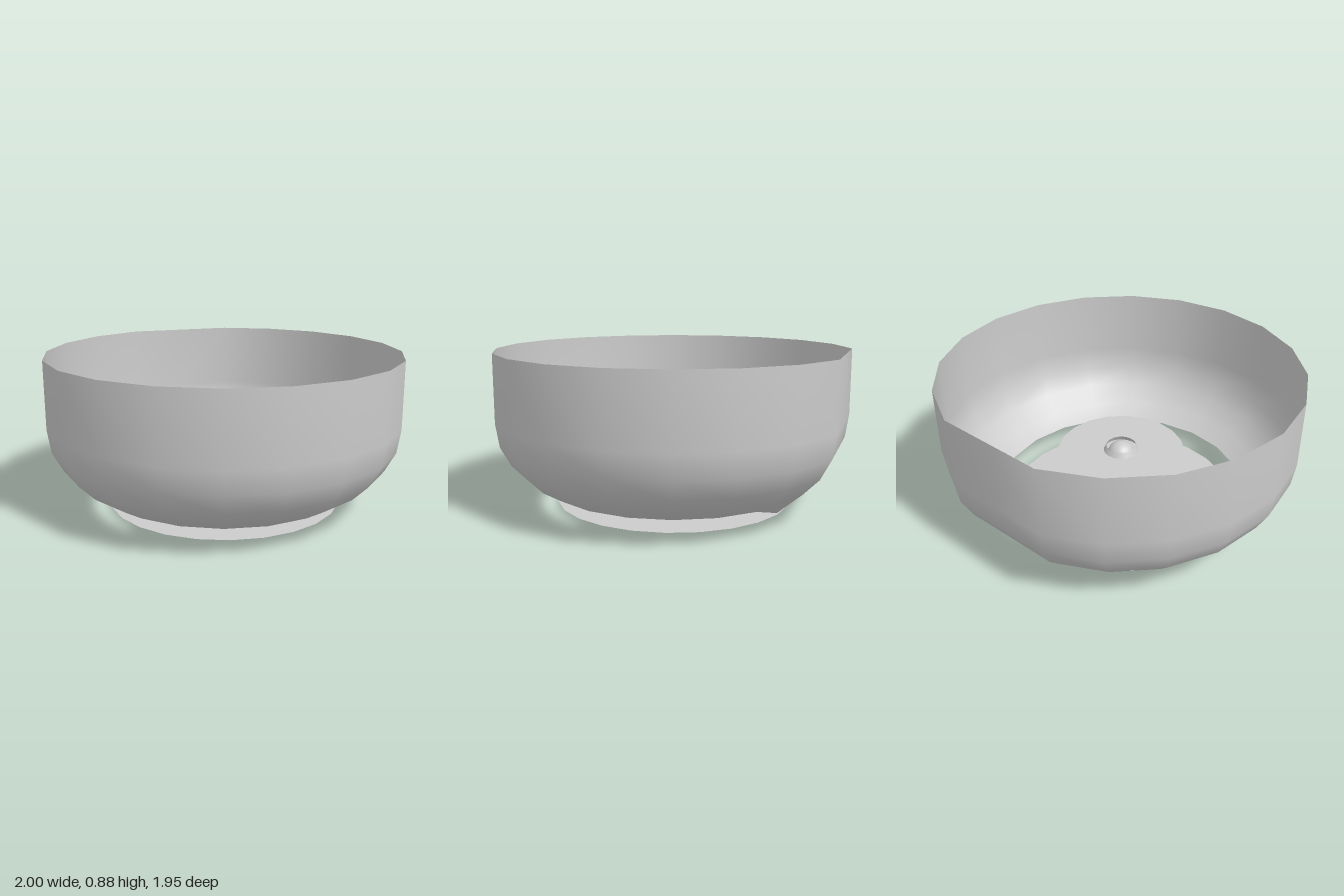
import * as THREE from 'three';
import { mergeVertices } from 'three/addons/utils/BufferGeometryUtils.js';

const CZ = -0.0245; // shared axis of the round parts

export function createModel() {
  const model = new THREE.Group();
  const mat = new THREE.MeshStandardMaterial({ color: 0xcccccc, side: THREE.DoubleSide });

  const add = (name, geometry, x, y, z) => {
    const mesh = new THREE.Mesh(geometry, mat);
    mesh.name = name;
    mesh.position.set(x, y, z);
    model.add(mesh);
    return mesh;
  };

  // Thin open bowl: 20 sides, flattened at the back, with a small flap pulled down there
  const profile = [[0.72, 0.105], [0.83, 0.17], [0.92, 0.26], [0.98, 0.37], [1, 0.5], [1, 0.877]]
    .map(([r, y]) => new THREE.Vector2(r, y));
  let bowl = new THREE.LatheGeometry(profile, 20);
  const p = bowl.attributes.position;
  const rings = profile.length;
  for (let seg = 9; seg <= 11; seg++) {
    for (let k = 0; k < rings; k++) {
      const i = seg * rings + k;
      if (seg === 10) p.setZ(i, -profile[k].x * Math.cos(Math.PI / 10));
      if (k === 0) {
        p.setY(i, 0.045);
        p.setZ(i, -0.65);
      }
    }
  }
  bowl.deleteAttribute('uv');
  bowl.deleteAttribute('normal');
  bowl = mergeVertices(bowl);
  bowl.computeVertexNormals();
  add('bowl', bowl, 0, 0, CZ);

  // Flat discs stacked on the axis
  const disc = (name, r, y, sides) => {
    add(name, new THREE.CircleGeometry(r, sides).rotateX(-Math.PI / 2), 0, y, CZ);
  };
  disc('footDisc', 0.184, 0, 24);
  disc('basePlate', 0.665, 0.02, 24);
  disc('innerDisc', 0.365, 0.35, 20);

  // Small collar low on the axis
  add('lowerCollar', new THREE.CylinderGeometry(0.1, 0.09, 0.015, 24), 0, 0.036, CZ);

  // Knob: a ring holding a ball
  add('knobRing', new THREE.CylinderGeometry(0.085, 0.1, 0.03, 24, 1, true), 0, 0.365, CZ);
  add('knobBall', new THREE.SphereGeometry(0.08, 20, 14), 0, 0.318, CZ);

  // Loose beads
  add('largeBead', new THREE.SphereGeometry(0.04, 14, 10), 0.235, 0.108, -0.325);
  add('smallBead', new THREE.SphereGeometry(0.022, 12, 8), 0.235, 0.15, -0.44);
  add('tinyBead', new THREE.SphereGeometry(0.012, 10, 6), -0.21, 0.11, -0.39);

  // Thin upright disc
  const fin = add('uprightDisc', new THREE.CircleGeometry(0.083, 20), -0.34, 0.235, -0.315);
  fin.rotation.y = Math.atan2(0.09, 0.14);

  return model;
}
